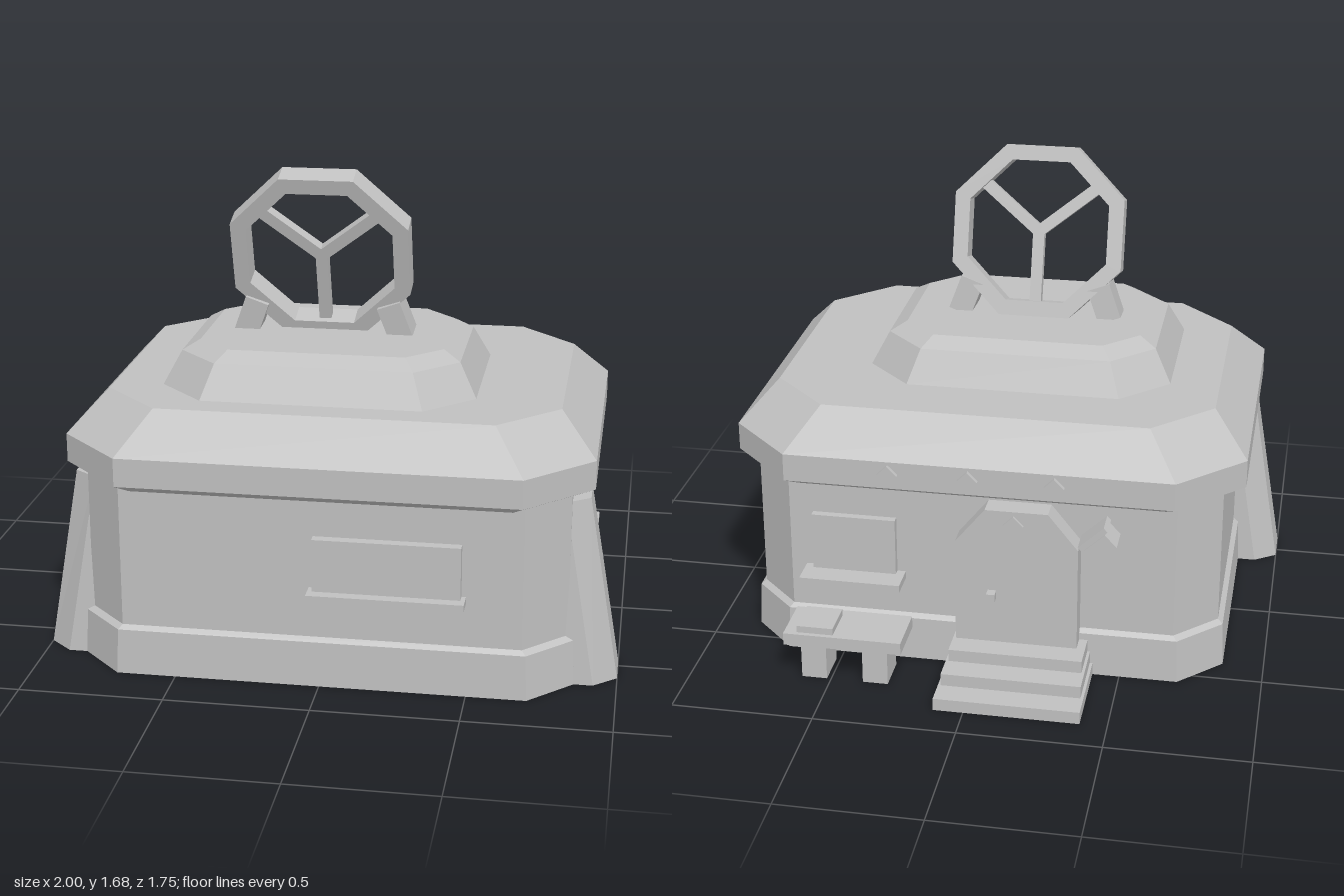
import * as THREE from 'three';

const stone = new THREE.MeshStandardMaterial({ color: 0xc0c0c0, flatShading: true, side: THREE.DoubleSide });
stone.name = 'grey stone';

// Rectangle with cut corners, as a horizontal ring of eight points
function ring(y, cx, cz, hx, hz, cut) {
  const corners = [[hx, hz - cut], [hx - cut, hz], [cut - hx, hz], [-hx, hz - cut],
    [-hx, cut - hz], [cut - hx, -hz], [hx - cut, -hz], [hx, cut - hz]];
  return corners.map(([x, z]) => new THREE.Vector3(cx + x, y, cz + z));
}

// Skin over a stack of rings, with optional end caps
function loft(rings, capBottom, capTop) {
  const v = [];
  const n = rings[0].length;
  const tri = (...p) => p.forEach((q) => v.push(q.x, q.y, q.z));
  for (let r = 0; r < rings.length - 1; r++) {
    for (let i = 0; i < n; i++) {
      const j = (i + 1) % n, a = rings[r], b = rings[r + 1];
      tri(a[i], b[i], a[j]);
      tri(a[j], b[i], b[j]);
    }
  }
  for (let i = 1; i < n - 1; i++) {
    const a = rings[0], b = rings[rings.length - 1];
    if (capBottom) tri(a[0], a[i], a[i + 1]);
    if (capTop) tri(b[0], b[i + 1], b[i]);
  }
  const g = new THREE.BufferGeometry();
  g.setAttribute('position', new THREE.Float32BufferAttribute(v, 3));
  g.computeVertexNormals();
  return g;
}

function add(parent, name, geometry) {
  const m = new THREE.Mesh(geometry, stone);
  m.name = name;
  parent.add(m);
  return m;
}

// Box given by its limits on each axis
function block(parent, name, [x0, x1], [y0, y1], [z0, z1]) {
  const m = add(parent, name, new THREE.BoxGeometry(x1 - x0, y1 - y0, z1 - z0));
  m.position.set((x0 + x1) / 2, (y0 + y1) / 2, (z0 + z1) / 2);
  return m;
}

function octagon(Shape, apothem) {
  const r = apothem / Math.cos(Math.PI / 8);
  const pts = [];
  for (let i = 0; i < 8; i++) {
    const a = (i + 0.5) * Math.PI / 4;
    pts.push(new THREE.Vector2(r * Math.cos(a), r * Math.sin(a)));
  }
  return new Shape(pts);
}

export function createModel() {
  const model = new THREE.Group();
  model.name = 'house';

  // Walls with plinth, open underneath
  add(model, 'walls', loft([
    ring(0, 0, 0.135, 0.855, 0.685, 0.15),
    ring(0.16, 0, 0.135, 0.848, 0.68, 0.15),
    ring(0.175, 0, 0.135, 0.83, 0.665, 0.145),
    ring(0.68, 0, 0.135, 0.83, 0.665, 0.145),
  ]));

  // Main roof and raised upper tier
  add(model, 'roof', loft([
    ring(0.665, 0, 0.13, 0.845, 0.675, 0.2),
    ring(0.7, 0, 0.13, 0.905, 0.735, 0.225),
    ring(0.8, 0, 0.13, 0.905, 0.735, 0.225),
    ring(0.935, 0, 0.13, 0.78, 0.595, 0.205),
  ], true, true));
  add(model, 'upperRoof', loft([
    ring(0.935, -0.06, 0.19, 0.545, 0.43, 0.165),
    ring(1.05, -0.06, 0.19, 0.485, 0.37, 0.145),
    ring(1.085, -0.06, 0.19, 0.425, 0.315, 0.12),
  ], false, true));

  // Tilted wheel ornament with three spokes
  const wheel = new THREE.Group();
  wheel.name = 'roofWheel';
  wheel.position.set(-0.08, 1.37, 0.24);
  wheel.rotation.x = 0.3;
  model.add(wheel);
  const rim = octagon(THREE.Shape, 0.31);
  rim.holes.push(octagon(THREE.Path, 0.255));
  add(wheel, 'rim', new THREE.ExtrudeGeometry(rim, { depth: 0.088, bevelEnabled: false }).translate(0, 0, -0.044));
  for (const deg of [-90, 39, 141]) {
    const spoke = add(wheel, 'spoke', new THREE.BoxGeometry(0.262, 0.042, 0.04).translate(0.131, 0, 0));
    spoke.rotation.z = THREE.MathUtils.degToRad(deg);
  }
  for (const s of [-1, 1]) {
    const foot = add(model, 'wheelFoot', new THREE.BoxGeometry(0.085, 0.13, 0.11));
    foot.position.set(-0.08 + s * 0.255, 1.135, 0.187);
    foot.rotation.set(0.1, 0, s * 0.35);
  }

  // Leaning side buttresses
  const foot = [[0.84, 0.40], [0.92, 0.40], [1, 0.455], [1, 0.6], [0.92, 0.67], [0.84, 0.67]];
  for (const s of [-1, 1]) {
    const level = (y, shift, squeeze) => {
      const p = foot.map(([x, z]) => new THREE.Vector3(s * (x - shift), y, 0.535 + (z - 0.535) * squeeze));
      return s < 0 ? p.reverse() : p;
    };
    add(model, 'buttress', loft([level(0, 0, 1), level(0.65, 0.11, 0.82)], true, true));
  }

  // Windows and sills on the front, left and back walls
  block(model, 'frontWindow', [-0.02, 0.48], [0.35, 0.54], [0.78, 0.835]);
  block(model, 'frontSill', [-0.035, 0.495], [0.33, 0.355], [0.78, 0.873]);
  block(model, 'sideWindow', [0.81, 0.86], [0.32, 0.56], [-0.105, 0.42]);
  block(model, 'sideSill', [0.81, 0.9], [0.3, 0.325], [-0.13, 0.445]);
  block(model, 'backWindow', [0.3, 0.6], [0.335, 0.55], [-0.557, -0.51]);
  block(model, 'backSill', [0.27, 0.63], [0.313, 0.34], [-0.64, -0.51]);

  // Back door with clipped top corners, and its knob
  const door = new THREE.Shape([[-0.215, 0.1], [0.215, 0.1], [0.215, 0.52], [0.11, 0.65], [-0.11, 0.65], [-0.215, 0.52]]
    .map(([x, y]) => new THREE.Vector2(x, y)));
  add(model, 'door', new THREE.ExtrudeGeometry(door, { depth: 0.09, bevelEnabled: false })).position.set(-0.14, 0, -0.61);
  block(model, 'doorKnob', [-0.07, -0.04], [0.31, 0.34], [-0.645, -0.6]);

  // Diamond studs along the eaves and above the door
  for (const [x, y] of [[0.31, 0.755], [0.03, 0.755], [-0.27, 0.755], [-0.13, 0.6]]) {
    const stud = add(model, 'stud', new THREE.BoxGeometry(0.05, 0.05, 0.03));
    stud.position.set(x, y, -0.605);
    stud.rotation.z = Math.PI / 4;
  }

  // Slanted lantern beside the door
  const lantern = new THREE.Group();
  lantern.name = 'lantern';
  lantern.position.set(-0.43, 0.55, -0.585);
  lantern.rotation.z = -0.75;
  model.add(lantern);
  block(lantern, 'lanternBody', [-0.05, 0.05], [-0.035, 0.025], [-0.05, 0.06]);
  block(lantern, 'lanternCap', [-0.06, 0.06], [0.025, 0.045], [-0.04, 0.06]);

  // Steps up to the door
  for (let i = 0; i < 3; i++) {
    const inset = i * 0.01;
    block(model, 'step', [-0.405 + inset, 0.105 - inset], [i * 0.045, i * 0.045 + 0.045], [-0.875 + i * 0.09, -0.54]);
  }

  // Bench with two legs and a cushion
  block(model, 'benchSeat', [0.24, 0.66], [0.14, 0.185], [-0.768, -0.575]);
  block(model, 'benchCushion', [0.485, 0.615], [0.185, 0.21], [-0.752, -0.61]);
  for (const x of [0.34, 0.56]) block(model, 'benchLeg', [x - 0.045, x + 0.045], [0, 0.14], [-0.74, -0.605]);

  return model;
}
